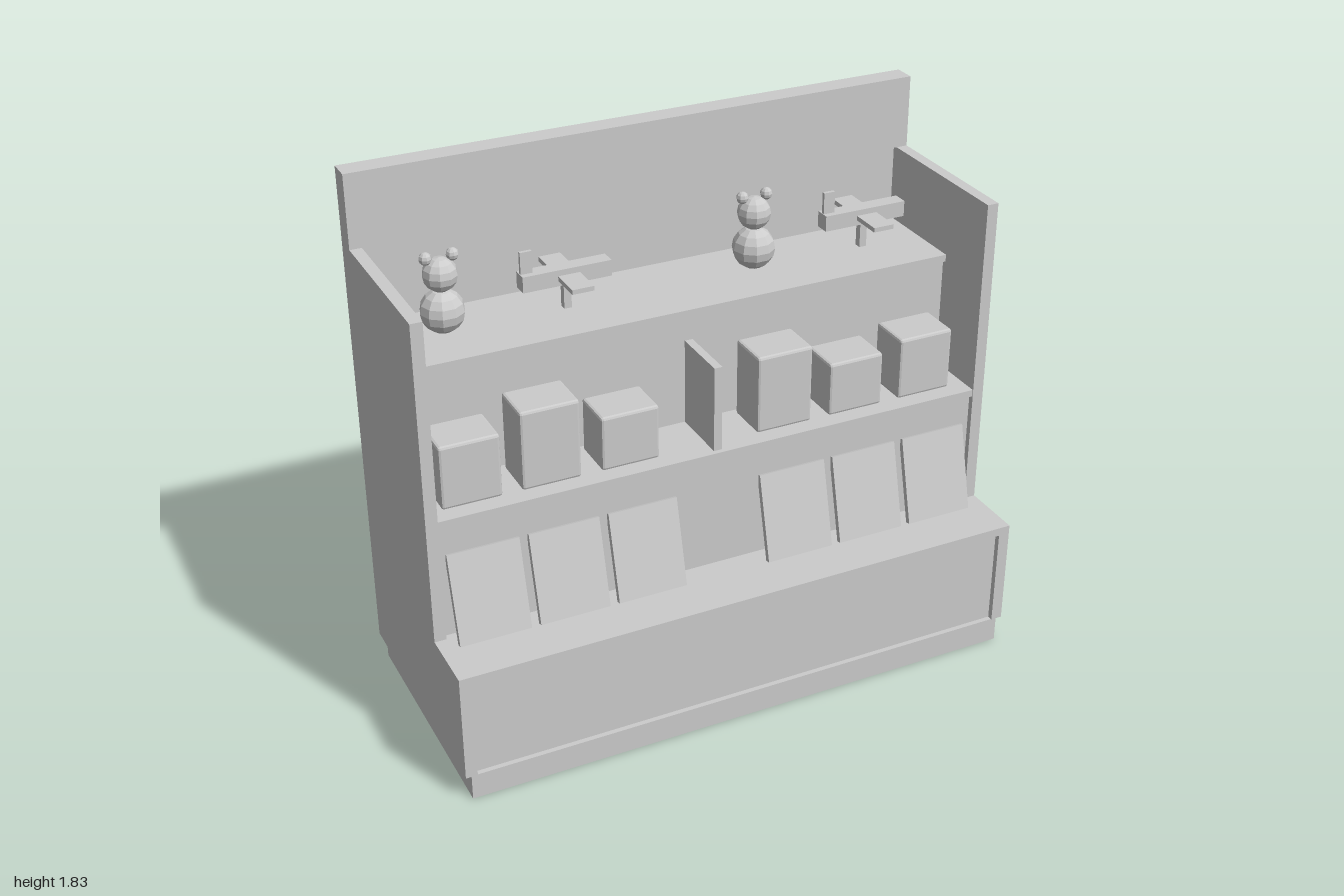
import * as THREE from 'three';
import { RoundedBoxGeometry } from 'three/addons/geometries/RoundedBoxGeometry.js';

const mat = new THREE.MeshStandardMaterial({ color: 0xcccccc, flatShading: true });

export function createModel() {
  const root = new THREE.Group();
  root.name = 'displayStand';

  const add = (name, geometry, parent = root) => {
    const mesh = new THREE.Mesh(geometry, mat);
    mesh.name = name;
    parent.add(mesh);
    return mesh;
  };
  // Box given by its limits on each axis
  const box = (name, x0, x1, y0, y1, z0, z1, parent) => {
    const mesh = add(name, new THREE.BoxGeometry(x1 - x0, y1 - y0, z1 - z0), parent);
    mesh.position.set((x0 + x1) / 2, (y0 + y1) / 2, (z0 + z1) / 2);
    return mesh;
  };

  // Carcass
  box('plinth', -0.98, 0.98, 0, 0.09, -0.415, 0.432);
  box('backPanel', -1, 1, 0.09, 1.58, -0.43, -0.37);
  box('header', -1, 1, 1.58, 1.83, -0.43, -0.352);
  box('rearStrip', -0.98, 0.98, 1.035, 1.2, -0.435, -0.43);

  // Stepped side panels
  const profile = new THREE.Shape([
    [-0.435, 0.09], [0.37, 0.09], [0.37, 1.58], [-0.215, 1.58], [-0.215, 0.47], [-0.435, 0.47],
  ].map(([x, y]) => new THREE.Vector2(x, y)));
  for (const [name, x] of [['leftSide', 0.96], ['rightSide', -1]]) {
    const side = add(name, new THREE.ExtrudeGeometry(profile, { depth: 0.04, bevelEnabled: false }));
    side.rotation.y = Math.PI / 2;
    side.position.x = x;
  }

  // Stepped interior: each wall sits slightly behind the shelf above it
  const tiers = [
    ['basePanel', 0.09, 0.44, 0.415], ['counter', 0.44, 0.47, 0.435],
    ['lowerWall', 0.47, 0.875, 0.195], ['middleShelf', 0.875, 0.9, 0.212],
    ['middleWall', 0.9, 1.29, -0.02], ['topShelf', 1.29, 1.315, -0.005],
  ];
  for (const [name, y0, y1, z] of tiers) box(name, -0.96, 0.96, y0, y1, -0.37, z);

  // Leaning boards on the counter
  for (const x of [-0.818, -0.547, -0.275, 0.268, 0.54, 0.812]) {
    const board = add('leaningBoard', new THREE.BoxGeometry(0.24, 0.305, 0.02));
    board.position.set(x, 0.62, 0.234);
    board.rotation.x = -0.25;
  }

  // Boxes on the middle shelf
  const boxes = [
    [-0.825, 0.22], [-0.56, 0.275], [-0.29, 0.19], [0.262, 0.275], [0.53, 0.19], [0.797, 0.22],
  ];
  for (const [x, h] of boxes) {
    const item = add('shelfBox', new RoundedBoxGeometry(0.2, h, 0.156, 1, 0.009));
    item.position.set(x, 0.9 + h / 2, 0.078);
  }
  box('divider', -0.016, 0.012, 0.9, 1.2, -0.02, 0.195);

  // Bear and plane figures on the top shelf, one pair per half
  for (const dx of [0, 1.09]) {
    const bear = new THREE.Group();
    bear.name = 'toyBear';
    bear.position.set(-0.765 + dx, 0, -0.2);
    root.add(bear);
    const ball = (name, r, x, y, w, h) =>
      add(name, new THREE.SphereGeometry(r, w, h), bear).position.set(x, y, 0);
    ball('body', 0.073, 0, 1.391, 10, 8);
    ball('head', 0.057, 0, 1.515, 10, 8);
    for (const s of [-1, 1]) ball('ear', 0.021, s * 0.044, 1.575, 8, 6);

    const plane = new THREE.Group();
    plane.name = 'toyPlane';
    plane.position.x = dx;
    root.add(plane);
    box('fuselage', -0.505, -0.2, 1.405, 1.46, -0.228, -0.174, plane);
    box('wings', -0.385, -0.31, 1.424, 1.44, -0.34, -0.06, plane);
    box('tailFin', -0.503, -0.462, 1.46, 1.535, -0.207, -0.195, plane);
    box('stand', -0.362, -0.336, 1.315, 1.405, -0.214, -0.188, plane);
  }
  return root;
}
